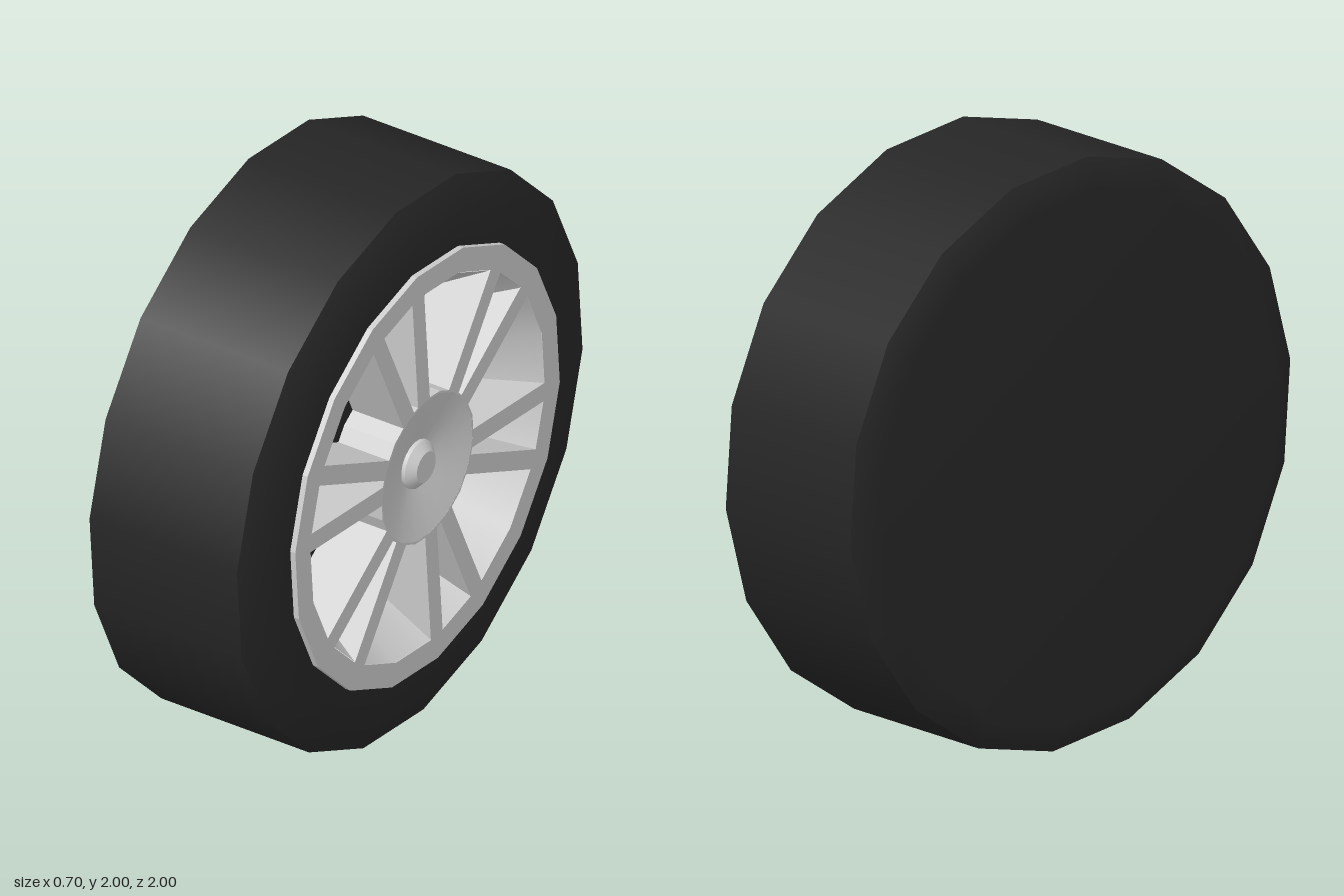
import * as THREE from 'three';
import { mergeGeometries } from 'three/addons/utils/BufferGeometryUtils.js';

const SIDES = 18;
const rad = THREE.MathUtils.degToRad;
const START = rad(5.5); // angle of the first polygon corner

// Surface of revolution about the x axis; profile points are [radius, x].
// Each profile is smooth, edges between profiles stay sharp.
function turned(...profiles) {
  return mergeGeometries(profiles.map((p) => {
    const pts = p.map(([r, x]) => new THREE.Vector2(r, x));
    return new THREE.LatheGeometry(pts, SIDES, -START).rotateZ(-Math.PI / 2);
  }));
}

// Corner k of the rim polygon at radius r, shifted sideways by w along its edges
const cornerAngle = (k) => rad(74.5 + 20 * k);
function corner(k, r, w = 0) {
  const a = cornerAngle(k);
  const along = r - Math.abs(w) * Math.tan(rad(10));
  return new THREE.Vector2(
    along * Math.cos(a) - w * Math.sin(a),
    along * Math.sin(a) + w * Math.cos(a));
}

const ringPoints = (r) => Array.from({ length: SIDES }, (_, k) => corner(k, r));

// Opening between the spokes on corners a and b
function windowPath(a, b, inner, outer, halfSpoke) {
  const pts = [corner(a, outer, halfSpoke)];
  for (let k = a + 1; k < b; k++) pts.push(corner(k, outer));
  pts.push(corner(b, outer, -halfSpoke), corner(b, inner, -halfSpoke));
  for (let k = b - 1; k > a; k--) pts.push(corner(k, inner));
  pts.push(corner(a, inner, halfSpoke));
  return new THREE.Path(pts);
}

export function createModel() {
  const rubber = new THREE.MeshStandardMaterial({ color: 0x262626 });
  rubber.name = 'black rubber';
  const metal = new THREE.MeshStandardMaterial({ color: 0xcccccc });
  metal.name = 'silver metal';

  const wheel = new THREE.Group();
  wheel.name = 'wheel';
  const add = (name, geometry, material) => {
    const mesh = new THREE.Mesh(geometry, material);
    mesh.name = name;
    wheel.add(mesh);
  };

  // Tire: closed back wall, tread, front wall
  add('tire', turned(
    [[0, -0.35], [0.9, -0.35], [1.003, -0.3]],
    [[1.003, -0.3], [1.003, 0.28]],
    [[1.003, 0.28], [0.9, 0.33], [0.74, 0.33]],
  ), rubber);

  // Dark floor seen through the openings
  add('wheelFloor', turned([[0.62, 0.15], [0, 0.15]]), rubber);

  // Rim ring and six pairs of spokes cut from one plate
  const plate = new THREE.Shape(ringPoints(0.768));
  for (let i = 0; i < SIDES; i += 3) {
    plate.holes.push(windowPath(i - 1, i + 1, 0.268, 0.682, 0.034));
    plate.holes.push(windowPath(i + 1, i + 2, 0.268, 0.682, 0.034));
  }
  plate.holes.push(new THREE.Path(ringPoints(0.26)));
  const spokes = new THREE.ExtrudeGeometry(plate, { depth: 0.2, bevelEnabled: false });
  spokes.rotateY(Math.PI / 2).translate(0.15, 0, 0);
  add('rimAndSpokes', spokes, metal);

  // Tapered inner wall of the rim
  add('rimBarrel', turned([[0.68, 0.349], [0.56, 0.15]]), metal);

  // Dished hub and centre cap
  add('hubDish', turned([[0.261, 0.35], [0.16, 0.325], [0.07, 0.3]]), metal);
  add('hubCap', turned(
    [[0.085, 0.295], [0.085, 0.318]],
    [[0.085, 0.318], [0.055, 0.345]],
    [[0.055, 0.345], [0, 0.345]],
  ), metal);

  wheel.position.y = 1;
  const model = new THREE.Group();
  model.name = 'wheelModel';
  model.add(wheel);
  return model;
}
